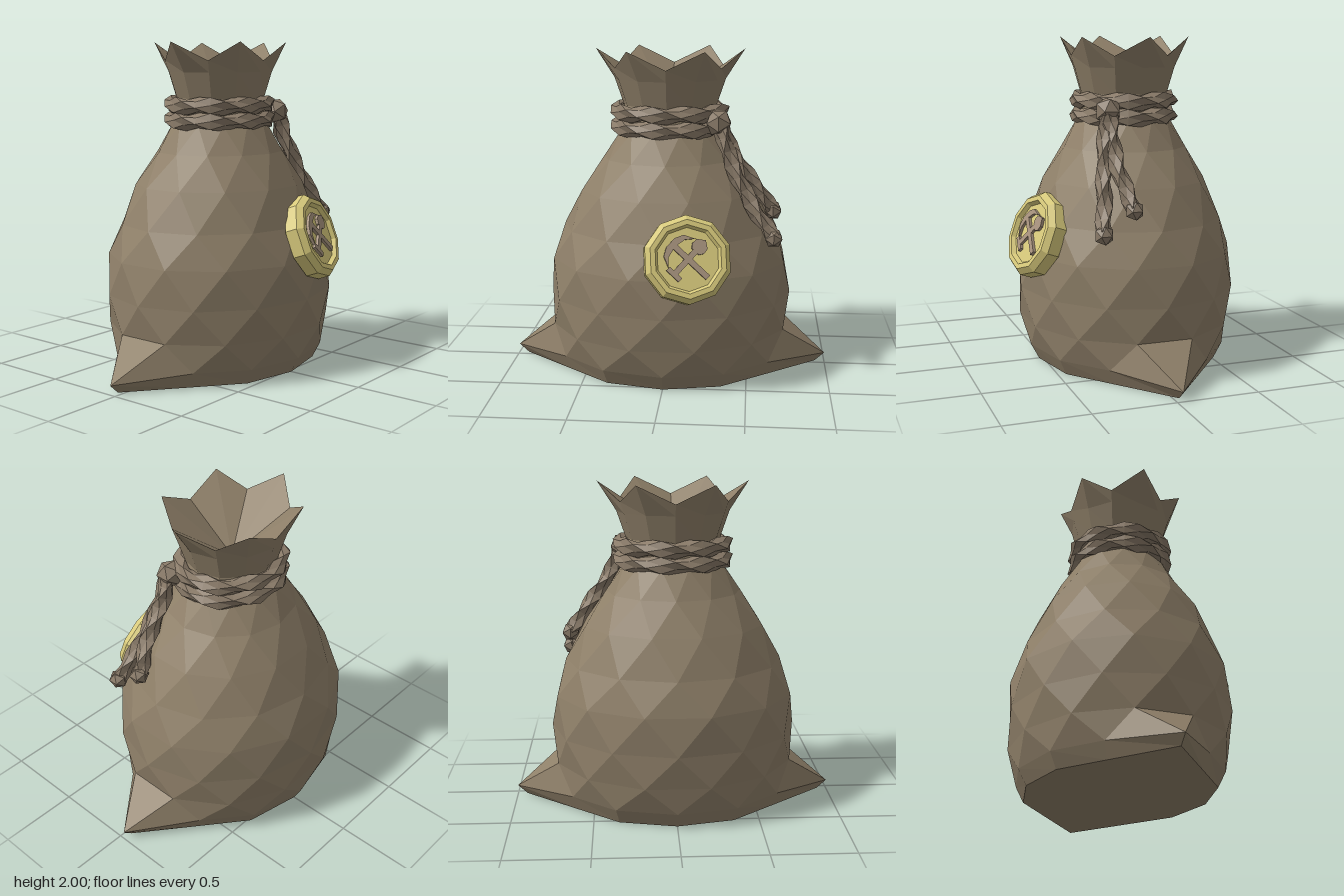
import * as THREE from 'three';

const CZ = -0.035; // the sack sits slightly behind the origin
const V = (x, y, z) => new THREE.Vector3(x, y, z);
const material = (name, color) => {
  const m = new THREE.MeshStandardMaterial({ color });
  m.name = name;
  return m;
};

// Faceted geometry from triangles of Vector3 corners
function facets(tris) {
  const g = new THREE.BufferGeometry().setFromPoints(tris.flat());
  g.computeVertexNormals();
  return g;
}

// Skin a stack of equal rings; shift[i] marks rings turned by half a step
function skin(rings, shift = []) {
  const tris = [], n = rings[0].length;
  for (let r = 0; r + 1 < rings.length; r++) {
    const a = rings[r], b = rings[r + 1];
    for (let i = 0; i < n; i++) {
      const j = (i + 1) % n;
      if (shift[r] && !shift[r + 1]) tris.push([a[i], a[j], b[j]], [a[i], b[j], b[i]]);
      else tris.push([a[i], a[j], b[i]], [a[j], b[j], b[i]]);
    }
  }
  return tris;
}

// Fan from a ring to a centre point
const fan = (ring, centre, flip) => ring.map((p, i) => {
  const q = ring[(i + 1) % ring.length];
  return flip ? [q, p, centre] : [p, q, centre];
});

function sackGeometry() {
  const N = 12;
  const ring = (y, rx, rz, half) => Array.from({ length: N }, (_, i) => {
    const t = (i + (half ? 0.5 : 0)) * Math.PI * 2 / N;
    return V(rx * Math.sin(t), y, CZ + rz * Math.cos(t));
  });
  // height, half width, half depth, half-step turn
  const rows = [
    [0, 0.69, 0.56, 0], [0.095, 0.73, 0.61, 0], [0.265, 0.75, 0.655, 1], [0.47, 0.765, 0.67, 0],
    [0.7, 0.745, 0.66, 1], [0.9, 0.67, 0.59, 0], [1.13, 0.56, 0.5, 1], [1.33, 0.415, 0.385, 0],
    [1.5, 0.31, 0.285, 1], [1.66, 0.29, 0.27, 0], [1.82, 0.345, 0.315, 0], [1.95, 0.4, 0.35, 0],
  ];
  const rings = rows.map(r => ring(...r));
  // Pulled-out bottom corners
  for (const [i, s] of [[3, 1], [9, -1]]) {
    rings[0][i].set(s * 0.94, 0, CZ);
    rings[1][i].set(s, 0.055, CZ);
  }
  // Zigzag mouth: six peaks, six valleys
  const mouth = rings[rings.length - 1];
  mouth.forEach((p, i) => {
    const t = i * Math.PI * 2 / N, peak = i % 2;
    p.set((peak ? 0.46 : 0.37) * Math.sin(t), peak ? 2 : 1.89, CZ + (peak ? 0.39 : 0.335) * Math.cos(t));
  });
  return facets([
    ...skin(rings, rows.map(r => r[3])),
    ...fan(rings[0], V(0, 0, CZ), true),
    ...fan(mouth, V(0, 1.64, CZ), false),
  ]);
}

// Twisted three-strand rope along a curve
function ropeGeometry(points, radius, segs, closed) {
  const curve = new THREE.CatmullRomCurve3(points, closed);
  const f = curve.computeFrenetFrames(segs, closed);
  const rings = [];
  for (let s = 0; s <= segs; s++) {
    const c = curve.getPointAt(s / segs);
    rings.push(Array.from({ length: 6 }, (_, k) => {
      const t = k * Math.PI / 3 + s * Math.PI * 2 / 9;
      const r = radius * (k % 2 ? 0.68 : 1.08);
      return c.clone().addScaledVector(f.normals[s], r * Math.cos(t)).addScaledVector(f.binormals[s], r * Math.sin(t));
    }));
  }
  const tris = skin(rings);
  if (!closed) tris.push(...fan(rings[0], points[0], true), ...fan(rings[segs], points[points.length - 1], false));
  return facets(tris);
}

// Thin raised plate from an outline of [x, y] pairs
function plate(pts) {
  const shape = new THREE.Shape(pts.map(p => new THREE.Vector2(...p)));
  return new THREE.ExtrudeGeometry(shape, { depth: 0.02, bevelEnabled: false });
}

export function createModel() {
  const cloth = material('sackcloth', 0x8f8069);
  const cord = material('rope', 0x8a7b69);
  const gold = material('gold', 0xd8ca7c);
  const bronze = material('bronze relief', 0xa8937e);

  const model = new THREE.Group();
  model.name = 'moneySack';
  const add = (parent, name, geo, mat, pos) => {
    const m = new THREE.Mesh(geo, mat);
    m.name = name;
    if (pos) m.position.copy(pos);
    parent.add(m);
    return m;
  };

  add(model, 'sack', sackGeometry(), cloth);

  // Two rope loops around the neck
  const rope = new THREE.Group();
  rope.name = 'rope';
  model.add(rope);
  for (const y of [1.525, 1.62]) {
    const loop = Array.from({ length: 12 }, (_, i) => {
      const t = i * Math.PI / 6;
      return V(0.32 * Math.sin(t), y, CZ + 0.28 * Math.cos(t));
    });
    add(rope, 'neckLoop', ropeGeometry(loop, 0.052, 24, true), cord);
  }

  // Knot and two hanging ends
  add(rope, 'knot', new THREE.IcosahedronGeometry(0.085, 0), cord, V(0.31, 1.57, 0.17));
  const strands = [
    [V(0.33, 1.57, 0.17), V(0.39, 1.4, 0.17), V(0.5, 1.24, 0.17), V(0.645, 1.03, 0.125)],
    [V(0.32, 1.56, 0.18), V(0.38, 1.36, 0.215), V(0.5, 1.12, 0.26), V(0.65, 0.9, 0.31)],
  ];
  for (const path of strands) {
    add(rope, 'hangingEnd', ropeGeometry(path, 0.05, 9, false), cord);
    add(rope, 'endKnot', new THREE.IcosahedronGeometry(0.06, 0), cord, path[3]);
  }

  // Ten-sided coin with a raised rim, leaning against the sack
  const coin = new THREE.Group();
  coin.name = 'coin';
  coin.position.set(0.14, 0.81, 0.525);
  coin.rotation.set(-0.35, 0.2, 0, 'YXZ');
  model.add(coin);
  const profile = [[0, 0], [0.26, 0], [0.26, 0.075], [0.23, 0.11], [0.2, 0.11], [0.185, 0.085], [0, 0.085]];
  const disc = new THREE.LatheGeometry(profile.map(p => new THREE.Vector2(...p)), 10).toNonIndexed();
  disc.computeVertexNormals();
  disc.rotateX(Math.PI / 2);
  add(coin, 'coinDisc', disc, gold);

  // Crossed tools in relief
  const tool = (name, angle, outlines) => {
    const g = new THREE.Group();
    g.name = name;
    g.position.z = 0.083;
    g.rotation.z = angle;
    coin.add(g);
    for (const o of outlines) add(g, name + 'Part', plate(o), bronze);
  };
  const bar = (w, y0, y1) => [[-w, y0], [w, y0], [w, y1], [-w, y1]];
  tool('shovel', -Math.PI / 4, [
    bar(0.017, -0.11, 0.08),
    bar(0.048, -0.135, -0.105),
    [[-0.028, 0.06], [0.028, 0.06], [0.046, 0.085], [0.042, 0.12], [0, 0.15], [-0.042, 0.12], [-0.046, 0.085]],
  ]);
  tool('pick', Math.PI / 4, [
    bar(0.017, -0.155, 0.115),
    [[-0.115, 0.05], [-0.07, 0.09], [0, 0.105], [0.07, 0.09], [0.115, 0.05],
      [0.085, 0.115], [0.035, 0.14], [-0.035, 0.14], [-0.085, 0.115]],
  ]);
  return model;
}
